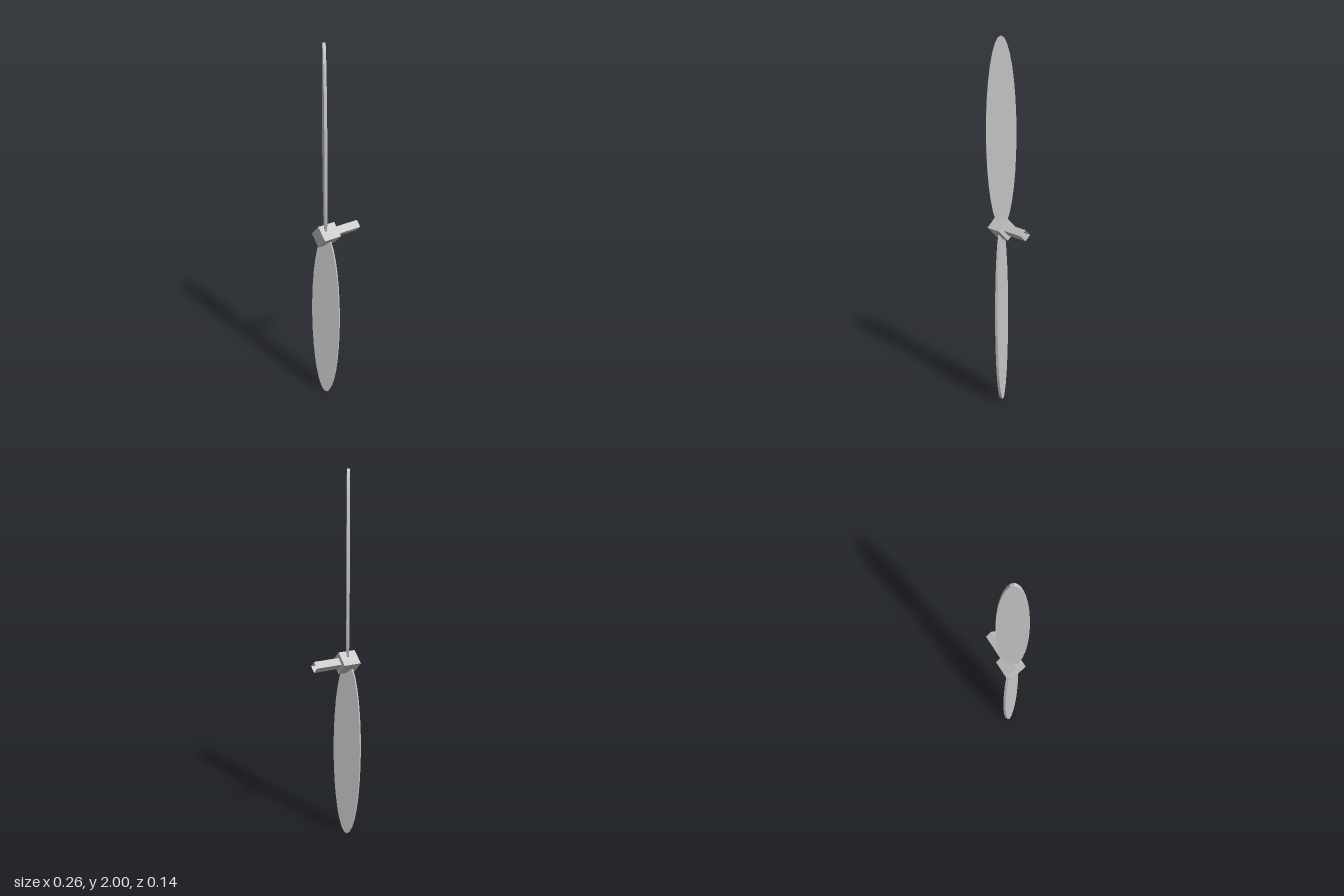
import * as THREE from 'three';

const material = new THREE.MeshStandardMaterial({ color: 0xcccccc, flatShading: true, side: THREE.DoubleSide });

// Four-sided rod lying along x, with its edges up, down, front and back
function rod(name, radius, x0, x1, open) {
  const geometry = new THREE.CylinderGeometry(radius, radius, x1 - x0, 4, 1, open).rotateZ(Math.PI / 2);
  const mesh = new THREE.Mesh(geometry, material);
  mesh.name = name;
  mesh.position.set((x0 + x1) / 2, 1, 0);
  return mesh;
}

// Thin elliptical blade, pitched about its long axis
function blade(name, turn) {
  const geometry = new THREE.CylinderGeometry(1, 1, 0.0145, 32)
    .rotateX(Math.PI / 2)
    .scale(0.0795, 0.5, 1)
    .rotateY(THREE.MathUtils.degToRad(58.5))
    .translate(0, 0.5, 0);
  const mesh = new THREE.Mesh(geometry, material);
  mesh.name = name;
  mesh.position.set(-0.08, 1, 0);
  mesh.rotation.x = turn;
  return mesh;
}

export function createModel() {
  const group = new THREE.Group();
  group.name = 'propeller';
  group.add(
    rod('hub', 0.06, -0.125, -0.023, false),
    rod('shaft', 0.03, -0.023, 0.128, true), // hollow, open at the end
    blade('upperBlade', 0),
    blade('lowerBlade', Math.PI)
  );
  return group;
}
